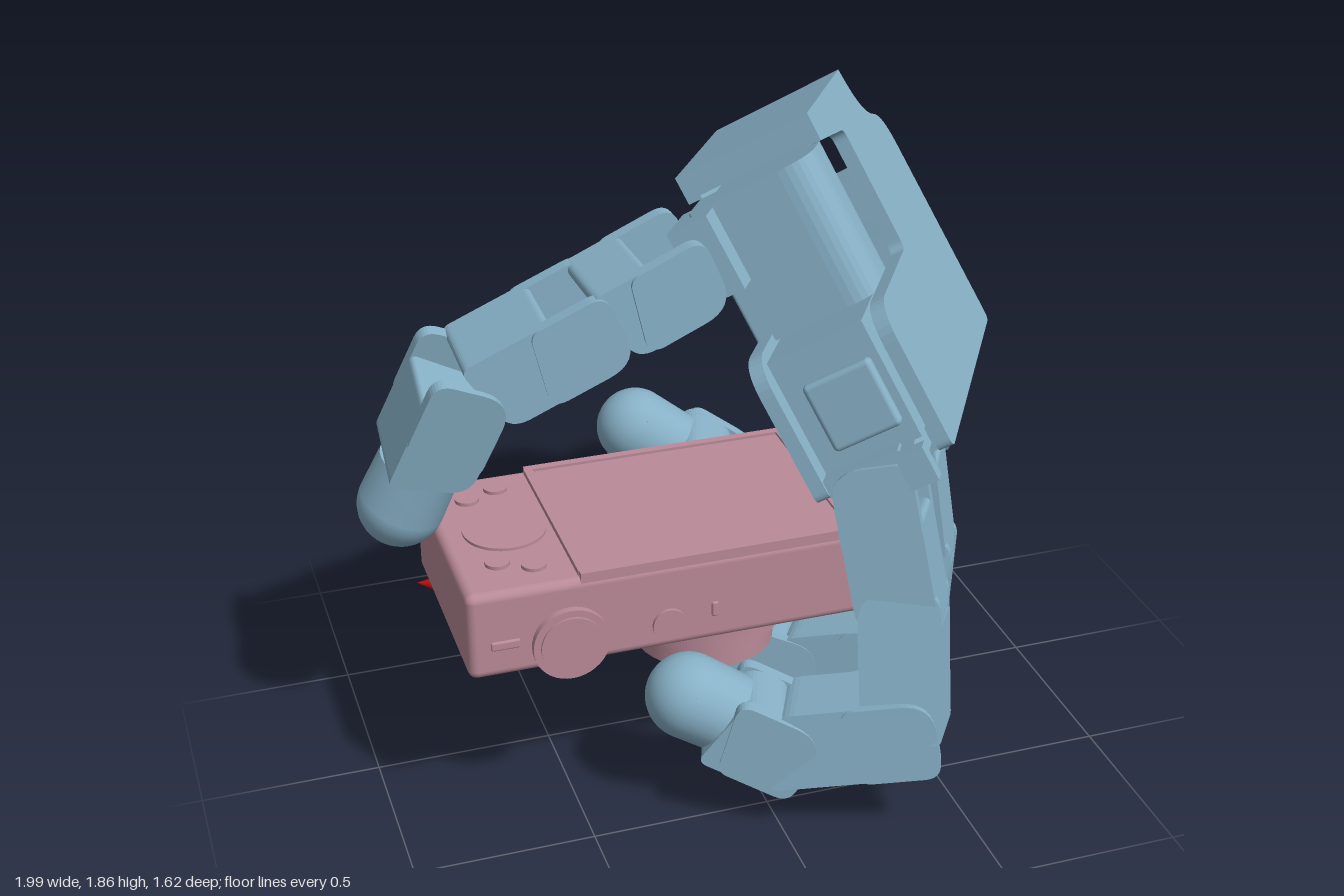
import * as THREE from 'three';
import { RoundedBoxGeometry } from 'three/addons/geometries/RoundedBoxGeometry.js';

const V = (x, y, z) => new THREE.Vector3(x, y, z);
const mat = (color) => new THREE.MeshStandardMaterial({ color, side: THREE.DoubleSide });
const blue = mat(0x87b0c6), pink = mat(0xb98a98), red = mat(0xcc1111);

function add(parent, name, geometry, material, x = 0, y = 0, z = 0) {
  const mesh = new THREE.Mesh(geometry, material);
  mesh.name = name;
  mesh.position.set(x, y, z);
  parent.add(mesh);
  return mesh;
}

function box(parent, name, [x0, x1], [y0, y1], [z0, z1], material = blue, r = 0) {
  const size = [x1 - x0, y1 - y0, z1 - z0];
  const geo = r ? new RoundedBoxGeometry(...size, 3, r) : new THREE.BoxGeometry(...size);
  return add(parent, name, geo, material, (x0 + x1) / 2, (y0 + y1) / 2, (z0 + z1) / 2);
}

// Closed polygon whose corners [x, y, radius] are rounded
function roundedShape(pts) {
  const shape = new THREE.Shape(), n = pts.length;
  pts.forEach(([x, y, r], i) => {
    const p = new THREE.Vector2(x, y);
    const toward = (q) => new THREE.Vector2(q[0], q[1]).sub(p).setLength(r).add(p);
    const a = toward(pts[(i + n - 1) % n]), b = toward(pts[(i + 1) % n]);
    if (i) shape.lineTo(a.x, a.y); else shape.moveTo(a.x, a.y);
    if (r) shape.quadraticCurveTo(x, y, b.x, b.y);
  });
  shape.closePath();
  return shape;
}

const extrude = (shape, depth) =>
  new THREE.ExtrudeGeometry(shape, { depth, bevelEnabled: false, curveSegments: 8 });

// Group with local axes x, y, z = x cross y
function frame(name, origin, xAxis, zAxis) {
  const X = xAxis.clone().normalize();
  const Y = zAxis.clone().cross(X).normalize();
  const g = new THREE.Group();
  g.name = name;
  g.applyMatrix4(new THREE.Matrix4().makeBasis(X, Y, X.clone().cross(Y)).setPosition(origin));
  return g;
}

// Palm axes: across the knuckles, and through the hand toward the palm side
const across = V(-0.49, 0.12, 0.865).normalize();
const inward = across.clone().cross(V(-0.383, 0.86, -0.337)).normalize();

function makePalm() {
  const palm = frame('palm', V(1.0, 0.975, -0.34), across, inward);
  const outline = roundedShape([
    [0, 0, 0.03], [1.12, 0, 0.03], [1.12, 0.42, 0.1], [0.57, 0.42, 0.03], [0.57, 0.79, 0.03],
    [0.86, 0.83, 0], [0.86, 0.91, 0], [0.28, 0.91, 0.01], [0.25, 0.76, 0.12], [0.035, 0.71, 0.1],
  ]);
  add(palm, 'backPlate', extrude(outline, 0.04), blue);
  add(palm, 'palmPlate', extrude(outline, 0.04), blue, 0, 0, 0.36);
  box(palm, 'wristCap', [0.28, 0.86], [0.84, 0.91], [0, 0.4]);
  box(palm, 'wristWall', [0.27, 0.33], [0.77, 0.9], [0.04, 0.36]);
  box(palm, 'sideWall', [0.05, 0.3], [0.48, 0.61], [0.04, 0.36]);
  box(palm, 'motorCore', [0.1, 0.55], [0.04, 0.48], [0.04, 0.36]);
  box(palm, 'frontCore', [0.55, 1.05], [0.04, 0.39], [0.08, 0.36]);
  box(palm, 'sideMotor', [0.03, 0.1], [0.12, 0.36], [0.1, 0.3], blue, 0.02);
  box(palm, 'frontMotor', [1.05, 1.09], [0.1, 0.3], [0.1, 0.3], blue, 0.015);
  // Knuckle mounts along the lower edge
  for (const w of [0.17, 0.6, 1.02]) {
    box(palm, 'knuckleMount', [w - 0.09, w + 0.09], [-0.06, 0.05], [0.14, 0.36]);
    for (const s of [-1, 1])
      box(palm, 'knuckleTab', [w + s * 0.13 - 0.025, w + s * 0.13 + 0.025], [-0.05, 0.05], [0.06, 0.14]);
  }
  box(palm, 'edgeRail', [0.04, 1.08], [-0.025, 0.04], [0.1, 0.34]);
  // Thumb motor in the open slot, rounded toward the back of the hand
  const motor = roundedShape([[0.63, 0.04, 0.1], [0.88, 0.04, 0.1], [0.88, 0.41, 0.01], [0.63, 0.41, 0.01]]);
  const body = add(palm, 'thumbMotor', extrude(motor, 0.41), blue, 0, 0.81, 0);
  body.rotation.x = Math.PI / 2;
  box(palm, 'thumbMount', [0.76, 0.97], [0.58, 0.8], [0.34, 0.46]);
  return palm;
}

// One phalanx: solid body and two fork cheeks at its start; an open joint
// leaves a gap between the cheeks, a closed one is filled by a barrel
function makeLink(a, b, side, width, depth, { first, last, open }) {
  const dir = b.clone().sub(a), L = dir.length(), h = depth / 2;
  const g = frame('link', a, dir, side);
  const start = first || open ? 0.07 : -0.01;
  const end = last ? L - 0.02 : L - (open ? 0.08 : 0.01);
  const profile = roundedShape([
    [start + 0.02, -h, 0.05], [end, -h, 0.06], [end + 0.04, h, 0.03], [start, h, 0.02],
  ]);
  add(g, 'linkBody', extrude(profile, width * 0.94), blue, 0, 0, -width * 0.47);
  const cheek = roundedShape([[-0.09, -h, 0.09], [0.17, -h, 0.05], [0.13, h, 0.03], [-0.09, h, 0.05]]);
  for (const s of [-1, 1])
    add(g, 'forkCheek', extrude(cheek, 0.04), blue, 0, 0, s * (width / 2 - 0.02) - 0.02);
  if (!last && !open) {
    const barrel = add(g, 'jointBarrel', new THREE.CylinderGeometry(h * 0.95, h * 0.95, width * 0.8, 24), blue, L, 0, 0);
    barrel.rotation.x = Math.PI / 2;
  }
  return g;
}

// A chain of links through the joints, ending in a round fingertip
function makeFinger(name, joints, side, width = 0.26, depth = 0.22, open = false) {
  const finger = new THREE.Group();
  finger.name = name;
  const pts = joints.map((p) => V(...p)), n = pts.length - 1;
  for (let i = 0; i < n; i++) {
    const last = i === n - 1;
    const end = last ? pts[i].clone().lerp(pts[n], 0.62) : pts[i + 1];
    finger.add(makeLink(pts[i], end, side, width, depth, { first: i === 0, last, open: open && !last }));
  }
  const dir = pts[n].clone().sub(pts[n - 1]).normalize();
  const neck = add(finger, 'fingertipNeck', new THREE.CylinderGeometry(0.12, 0.115, 0.14, 32), blue);
  neck.quaternion.setFromUnitVectors(V(0, 1, 0), dir);
  neck.position.copy(pts[n]).addScaledVector(dir, -0.07);
  add(finger, 'fingertip', new THREE.SphereGeometry(0.12, 32, 20), blue).position.copy(pts[n]);
  return finger;
}

function disc(parent, name, r, h, x, y, z, turn = 0) {
  const d = add(parent, name, new THREE.CylinderGeometry(r, r, h, 40), pink, x, y, z);
  d.rotation.x = turn;
  return d;
}

function makeCamera() {
  const cam = new THREE.Group();
  cam.name = 'camera';
  box(cam, 'cameraBody', [-0.8, 0.32], [0.5, 0.757], [-0.24, 0.4], pink, 0.025);
  // Screen with raised frame
  box(cam, 'screenPanel', [-0.48, 0.28], [0.74, 0.765], [-0.21, 0.38], pink);
  for (const z of [-0.215, 0.385]) box(cam, 'screenFrame', [-0.49, 0.29], [0.74, 0.773], [z - 0.012, z + 0.012], pink);
  for (const x of [-0.48, 0.28]) box(cam, 'screenFrame', [x - 0.012, x + 0.012], [0.74, 0.773], [-0.21, 0.38], pink);
  // Buttons beside the screen
  disc(cam, 'controlDial', 0.115, 0.02, -0.62, 0.755, 0.08);
  for (const [x, z] of [[-0.68, -0.11], [-0.59, -0.15], [-0.68, 0.25], [-0.59, 0.29]])
    disc(cam, 'button', 0.034, 0.02, x, 0.757, z);
  // Controls on the front edge
  const q = Math.PI / 2;
  disc(cam, 'modeDial', 0.105, 0.03, -0.525, 0.575, 0.405, q);
  disc(cam, 'modeDialCap', 0.085, 0.03, -0.525, 0.575, 0.412, q);
  disc(cam, 'shutterButton', 0.047, 0.02, -0.25, 0.575, 0.4, q);
  box(cam, 'slot', [-0.74, -0.66], [0.585, 0.612], [0.39, 0.406], pink, 0.006);
  box(cam, 'switch', [-0.13, -0.11], [0.575, 0.62], [0.39, 0.406], pink, 0.006);
  // Stepped lens pointing down
  for (const [r, y0, y1] of [[0.28, 0.47, 0.51], [0.24, 0.43, 0.48], [0.22, 0.39, 0.44], [0.2, 0.32, 0.4]])
    disc(cam, 'lensRing', r, y1 - y0, -0.05, (y0 + y1) / 2, 0.08);
  // Red marker: two cones base to base
  const marker = new THREE.Group();
  marker.name = 'marker';
  add(marker, 'markerTip', new THREE.ConeGeometry(0.045, 0.13, 16), red, 0, 0.065, 0);
  add(marker, 'markerTail', new THREE.ConeGeometry(0.045, 0.15, 16), red, 0, -0.075, 0).rotation.x = Math.PI;
  marker.position.set(-0.71, 0.467, -0.15);
  marker.quaternion.setFromUnitVectors(V(0, 1, 0), V(-0.8, -0.12, -0.55).normalize());
  cam.add(marker);
  return cam;
}

export function createModel() {
  const model = new THREE.Group();
  model.add(makePalm(), makeCamera());
  model.add(
    makeFinger('frontFinger', [[0.33, 0.92, 0.45], [0.37, 0.57, 0.55], [0.35, 0.28, 0.64], [0.03, 0.22, 0.5], [-0.2, 0.34, 0.41]], across),
    makeFinger('middleFinger', [[0.54, 0.87, 0.07], [0.58, 0.48, 0.13], [0.54, 0.21, 0.18], [0.24, 0.13, 0.01], [0, 0.2, -0.12]], across),
    makeFinger('rearFinger', [[0.76, 0.83, -0.29], [0.78, 0.69, -0.33], [0.52, 0.36, -0.46], [0.23, 0.43, -0.61], [-0.02, 0.6, -0.69]], across),
    makeFinger('thumb', [[-0.13, 1.45, 0.06], [-0.39, 1.34, 0.07], [-0.73, 1.19, 0.06], [-0.88, 0.84, -0.01]], V(0, 0, -1), 0.29, 0.22, true),
  );
  return model;
}
